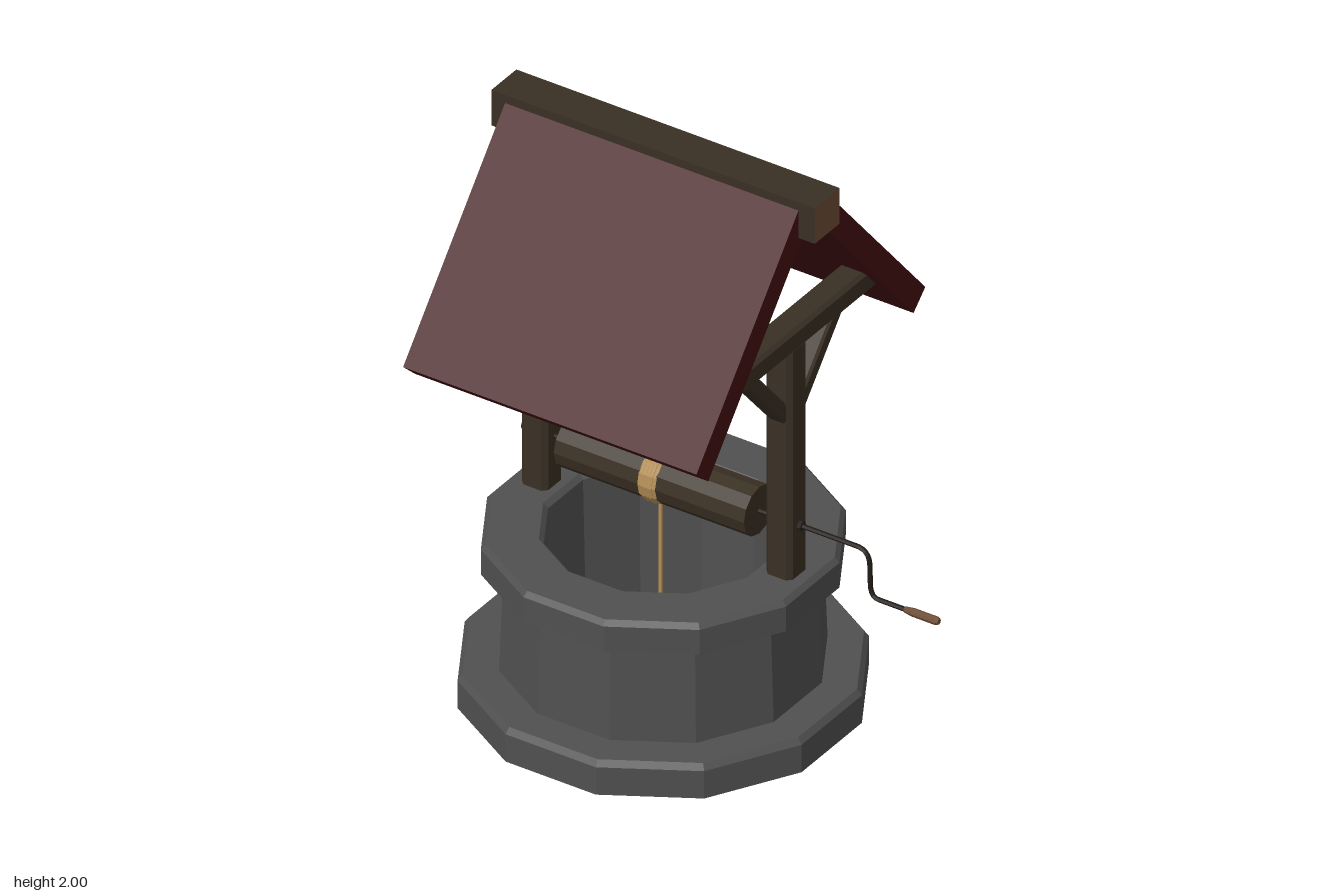
import * as THREE from 'three';

const CX = -0.2; // centre line of the well
const mat = (name, color, opts = {}) => {
  const m = new THREE.MeshStandardMaterial({ color, flatShading: true, ...opts });
  m.name = name;
  return m;
};

export function createModel() {
  const group = new THREE.Group();
  const stone = mat('stone', 0x505050, { side: THREE.DoubleSide });
  const wood = mat('darkWood', 0x3a3024);
  const cutWood = mat('cutWood', 0x6e4c36);
  const red = mat('roofRed', 0x450f11);
  const rope = mat('rope', 0xb8925a);
  const iron = mat('iron', 0x211c18);

  const add = (name, geometry, material, x = 0, y = 0, z = 0) => {
    const mesh = new THREE.Mesh(geometry, material);
    mesh.name = name;
    mesh.position.set(x, y, z);
    group.add(mesh);
    return mesh;
  };

  // Square bar with chamfered edges, length along local z, centred
  const bar = (w, h, length, c) => {
    const a = w / 2, b = h / 2;
    const pts = [[a, -b + c], [a, b - c], [a - c, b], [-a + c, b],
      [-a, b - c], [-a, -b + c], [-a + c, -b], [a - c, -b]];
    return new THREE.ExtrudeGeometry(new THREE.Shape(pts.map(p => new THREE.Vector2(...p))),
      { depth: length, bevelEnabled: false }).translate(0, 0, -length / 2);
  };

  // Extrude a z-y outline along x, centred
  const slab = (pts, width) => new THREE.ExtrudeGeometry(
    new THREE.Shape(pts.map(([z, y]) => new THREE.Vector2(-z, y))),
    { depth: width, bevelEnabled: false }).translate(0, 0, -width / 2).rotateY(Math.PI / 2);

  // Twelve-sided hollow stone body: footing, tapered wall, coping and shaft
  const k = 1 / Math.cos(Math.PI / 12);
  const profile = [[0.62, 0], [0.62, 0.1], [0.605, 0.12], [0.495, 0.12], [0.482, 0.48],
    [0.55, 0.48], [0.55, 0.57], [0.535, 0.587], [0.375, 0.587], [0.36, 0.57], [0.345, 0]];
  add('stoneWell', new THREE.LatheGeometry(
    profile.map(([r, y]) => new THREE.Vector2(r * k, y)), 12, Math.PI / 12), stone, CX, 0, 0.005);

  // Posts with cross beams and braces
  for (const x of [CX - 0.45, CX + 0.45]) {
    add('post', bar(0.097, 0.1, 0.85, 0.016).rotateX(Math.PI / 2), wood, x, 0.995, 0.003);
    add('crossBeam', bar(0.097, 0.082, 0.84, 0.012), wood, x, 1.45, 0);
    for (const s of [1, -1]) {
      const brace = add('brace', bar(0.066, 0.052, 0.37, 0.008), wood, x, 1.305, s * 0.145);
      brace.rotation.x = -s * Math.atan2(0.255, 0.22);
    }
  }

  // Two roof panels meeting inside the ridge beam
  for (const s of [1, -1]) {
    let pts = [[0.63, 1.31], [0.06, 1.98], [-0.007, 1.923], [0.565, 1.25]].map(([z, y]) => [s * z, y]);
    add('roofPanel', slab(pts, 1.08), red, CX);
  }
  const ends = [cutWood, cutWood, wood, wood, wood, wood];
  add('ridgeBeam', new THREE.BoxGeometry(1.19, 0.13, 0.137), ends, -0.195, 1.935, 0);

  // Windlass drum
  const AY = 0.767;
  add('drum', new THREE.CylinderGeometry(0.085, 0.085, 0.7, 12).rotateZ(Math.PI / 2), wood, CX, AY, 0);

  // Rope wound on the drum, and its hanging end
  for (let i = 0; i < 5; i++) {
    add('ropeCoil', new THREE.TorusGeometry(i % 4 ? 0.083 : 0.08, 0.009, 6, 14).rotateY(Math.PI / 2),
      rope, -0.21 + (i - 2) * 0.0125, AY, 0);
  }
  add('hangingRope', new THREE.CylinderGeometry(0.007, 0.007, 0.62, 6), rope, CX, 0.39, 0.02);

  // Axle and bent crank arm
  const path = new THREE.CurvePath();
  const v = (x, y) => new THREE.Vector3(x, y, 0);
  path.add(new THREE.LineCurve3(v(-0.715, AY), v(0.51, AY)));
  path.add(new THREE.QuadraticBezierCurve3(v(0.51, AY), v(0.555, AY), v(0.557, 0.715)));
  path.add(new THREE.LineCurve3(v(0.557, 0.715), v(0.559, 0.645)));
  path.add(new THREE.QuadraticBezierCurve3(v(0.559, 0.645), v(0.56, 0.6), v(0.59, 0.6)));
  path.add(new THREE.LineCurve3(v(0.59, 0.6), v(0.71, 0.6)));
  add('crank', new THREE.TubeGeometry(path, 120, 0.008, 6), iron);
  for (const x of [-0.708, 0.302]) {
    add('axleCollar', new THREE.CylinderGeometry(0.016, 0.016, 0.018, 8).rotateZ(Math.PI / 2), iron, x, AY, 0);
  }

  // Tapered wooden grip
  const grip = [[0, 0], [0.01, 0], [0.014, 0.03], [0.014, 0.115], [0.01, 0.125], [0, 0.125]];
  add('crankGrip', new THREE.LatheGeometry(grip.map(p => new THREE.Vector2(...p)), 8)
    .rotateZ(-Math.PI / 2), cutWood, 0.687, 0.6, 0);

  return group;
}
